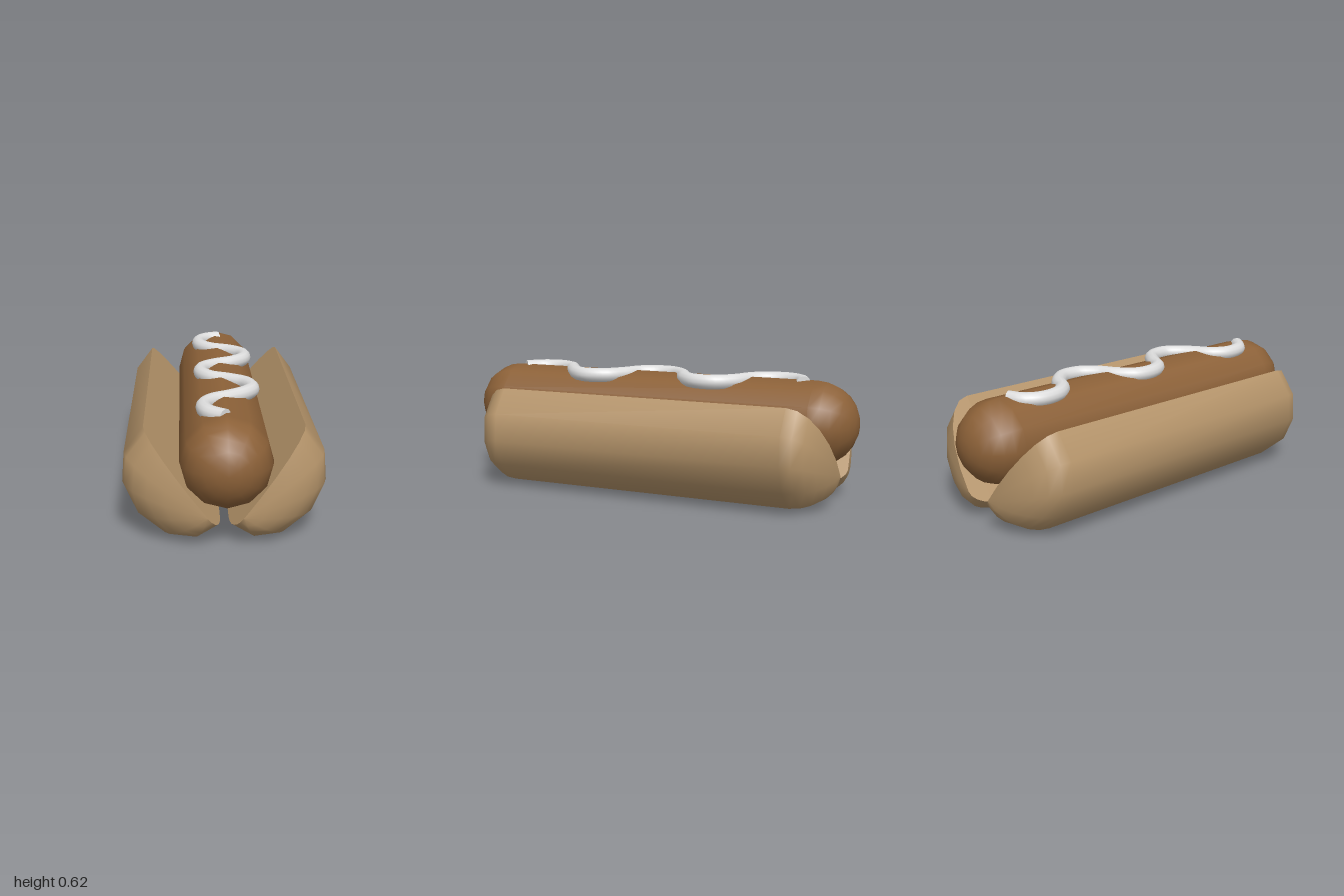
import * as THREE from 'three';

const paint = (name, color) => {
  const m = new THREE.MeshStandardMaterial({ color });
  m.name = name;
  return m;
};

// Skins a strip of cross-section points through all rings, scaled about an anchor
function skin(points, rings, anchor) {
  const pos = [], index = [], n = points.length;
  for (const [z, s] of rings)
    for (const [x, y] of points)
      pos.push(anchor[0] + (x - anchor[0]) * s, anchor[1] + (y - anchor[1]) * s, z);
  for (let i = 0; i < rings.length - 1; i++)
    for (let j = 0; j < n - 1; j++) {
      const a = i * n + j, b = a + n;
      if (rings[i][1] > 0) index.push(a, a + 1, b);
      if (rings[i + 1][1] > 0) index.push(a + 1, b + 1, b);
    }
  const g = new THREE.BufferGeometry();
  g.setAttribute('position', new THREE.Float32BufferAttribute(pos, 3));
  g.setIndex(index);
  g.computeVertexNormals();
  return g;
}

export function createModel() {
  const root = new THREE.Group();
  root.name = 'hotDog';
  const bread = paint('bread', 0xb5946a);
  const meat = paint('meat', 0x8c6138);
  const cream = paint('sauceWhite', 0xdddddd);
  const add = (parent, geometry, material, name) => {
    const mesh = new THREE.Mesh(geometry, material);
    mesh.name = name;
    parent.add(mesh);
    return mesh;
  };

  // Bun and sausage lie at an angle across the ground
  const body = new THREE.Group();
  body.name = 'bunAndSausage';
  body.rotation.y = 0.33;
  root.add(body);

  // Bun halves: rounded crust from the hinge up to the rim, plus a flat sloping cut face
  const crust = [[0.02, 0.075], [0.14, 0.003], [0.28, 0.022], [0.405, 0.125],
    [0.465, 0.26], [0.455, 0.4], [0.365, 0.52]];
  const cut = [crust[crust.length - 1], crust[0]];
  const anchor = [0.02 + 0.345 * 0.17, 0.075 + 0.445 * 0.17];
  const half = 0.75, cap = 0.2, steps = 6;
  const rings = [];
  for (let i = 0; i <= steps; i++) {
    const a = (i / steps) * Math.PI / 2;
    rings.push([-half - cap * Math.cos(a), i === 0 ? 0 : Math.sin(a)]);
  }
  for (let i = steps; i >= 0; i--) rings.push([-rings[i][0], rings[i][1]]);
  const crustGeometry = skin(crust, rings, anchor);
  const cutGeometry = skin(cut, rings, anchor);
  for (const [name, turn] of [['leftBunHalf', 0], ['rightBunHalf', Math.PI]]) {
    const bun = new THREE.Group();
    bun.name = name;
    bun.rotation.y = turn;
    bun.position.z = -0.03;
    add(bun, crustGeometry, bread, 'crust');
    add(bun, cutGeometry, bread, 'cutFace');
    body.add(bun);
  }

  // Sausage
  const sausage = add(body, new THREE.CapsuleGeometry(0.21, 1.67, 6, 12).rotateX(Math.PI / 2), meat, 'sausage');
  sausage.position.set(0.005, 0.392, 0);

  // Wavy line of sauce along the top, closed with flat ends
  const wave = [[-0.23, -0.735], [-0.285, -0.68], [-0.3, -0.6], [-0.26, -0.505], [-0.18, -0.45],
    [-0.07, -0.43], [0.02, -0.375], [0.052, -0.28], [0.02, -0.19], [-0.05, -0.11], [-0.092, -0.02],
    [-0.07, 0.075], [0, 0.14], [0.1, 0.16], [0.2, 0.2], [0.255, 0.29], [0.24, 0.37], [0.19, 0.45],
    [0.13, 0.53], [0.117, 0.62], [0.165, 0.71], [0.26, 0.757]];
  const path = new THREE.CatmullRomCurve3(wave.map(([x, z]) => new THREE.Vector3(x, 0.584, z)));
  const sauce = new THREE.Group();
  sauce.name = 'sauce';
  root.add(sauce);
  add(sauce, new THREE.TubeGeometry(path, 90, 0.037, 12), cream, 'sauceLine');
  for (const [t, dir] of [[0, -1], [1, 1]]) {
    const end = add(sauce, new THREE.CircleGeometry(0.037, 12), cream, 'sauceEnd');
    end.position.copy(path.getPointAt(t));
    end.quaternion.setFromUnitVectors(new THREE.Vector3(0, 0, 1), path.getTangentAt(t).multiplyScalar(dir));
  }
  return root;
}
